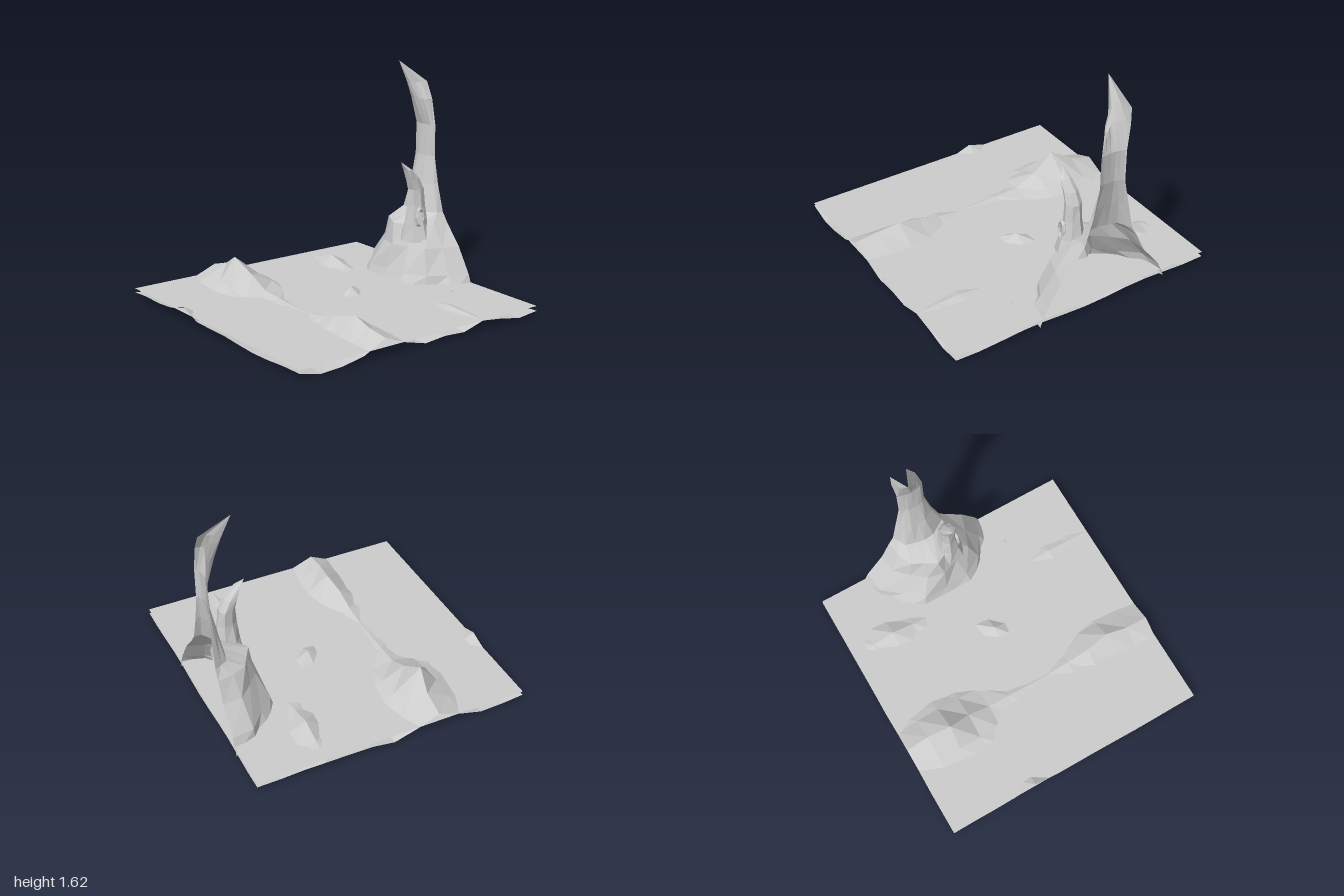
import * as THREE from 'three';

const material = () =>
  new THREE.MeshStandardMaterial({ color: 0xcccccc, flatShading: true, side: THREE.DoubleSide });

function addMesh(parent, name, geometry) {
  geometry.computeVertexNormals();
  const mesh = new THREE.Mesh(geometry, material());
  mesh.name = name;
  parent.add(mesh);
  return mesh;
}

// Skin over rings [y, cx, cz, rx, rz], swept from +z by way of -x, ending in a tip.
function loft(rings, sweep, steps, tip, rough) {
  const points = [], index = [], row = steps + 1;
  rings.forEach(([y, cx, cz, rx, rz], r) => {
    for (let k = 0; k <= steps; k++) {
      const a = (sweep * k) / steps;
      const atEnd = k === 0 || k === steps;
      const f = atEnd ? 1 : 1 + rough * Math.sin(k * 2.6 + r * 1.3);
      points.push(cx - rx * f * Math.sin(a), y, cz + rz * f * Math.cos(a));
    }
  });
  const last = rings.length - 1;
  points.push(...tip);
  for (let k = 0; k < steps; k++) {
    for (let r = 0; r < last; r++) {
      const a = r * row + k, b = a + row;
      index.push(a, b, a + 1, a + 1, b, b + 1);
    }
    index.push(last * row + k, rings.length * row, last * row + k + 1);
  }
  const g = new THREE.BufferGeometry();
  g.setAttribute('position', new THREE.Float32BufferAttribute(points, 3));
  g.setIndex(index);
  return g;
}

// Seabed: valleys and ridges along z, with raised grid nodes as islands
function seabedGeometry() {
  const N = 12;
  const profile = [0.03, 0.005, 0.015, 0.03, 0.065, 0.015, 0.005, 0.02, 0.025, 0.04, 0.03, 0.015, 0.03];
  // [column, first row, heights along z]
  const raised = [
    [0, 3, 0.05, 0.1, 0.04],
    [3, 0, 0.055, 0.09, 0.1, 0.085, 0.05],
    [4, 0, 0.12, 0.17, 0.26, 0.16, 0.085, 0.075, 0.065, 0.062, 0.085, 0.13, 0.17, 0.14, 0.12],
    [5, 0, 0.05, 0.08, 0.1, 0.085, 0.055],
    [5, 9, 0.055, 0.07, 0.065, 0.055],
    [7, 6, 0.105],
    [9, 1, 0.075, 0.12, 0.08, 0.05],
    [9, 9, 0.06, 0.078, 0.07, 0.06],
  ];
  const g = new THREE.PlaneGeometry(2, 2, N, N).rotateX(-Math.PI / 2);
  const pos = g.attributes.position;
  for (let j = 0; j <= N; j++)
    for (let i = 0; i <= N; i++) {
      const wave = 0.01 * Math.sin(i * 1.9 + j * 1.2);
      pos.setY(j * (N + 1) + i, Math.max(0, profile[i] + (i === 4 ? 0 : wave)));
    }
  for (const [i, first, ...heights] of raised)
    heights.forEach((h, k) => pos.setY((first + k) * (N + 1) + i, h));
  // Main summit leans a little to the side
  pos.setX(2 * (N + 1) + 4, -0.37);
  pos.setX(10 * (N + 1) + 4, -0.31);
  return g;
}

export function createModel() {
  const model = new THREE.Group();
  model.name = 'rockyShore';

  addMesh(model, 'seabed', seabedGeometry());

  const water = new THREE.PlaneGeometry(2, 2).rotateX(-Math.PI / 2).translate(0, 0.06, 0);
  addMesh(model, 'waterSurface', water);

  const rock = new THREE.Group();
  rock.name = 'seaStack';
  model.add(rock);

  // Tall stack: open shell sliced at x = 1. Each entry is y, reach in -x, front z, back z.
  const levels = [
    [0, 0.45, 0.36, -0.66],
    [0.12, 0.4, 0.31, -0.61],
    [0.3, 0.34, 0.2, -0.47],
    [0.45, 0.3, 0.07, -0.4],
    [0.52, 0.13, 0.02, -0.36],
    [0.72, 0.08, -0.04, -0.32],
    [0.92, 0.04, -0.08, -0.28],
    [1.15, 0.03, -0.08, -0.28],
    [1.34, 0.09, -0.12, -0.3],
    [1.46, 0.135, -0.18, -0.3],
  ];
  const stackRings = levels.map(([y, reach, f, b]) => [y, 1, (f + b) / 2, reach, (f - b) / 2]);
  addMesh(rock, 'tallStack', loft(stackRings, Math.PI, 8, [0.8, 1.62, -0.26], 0.05));

  // Small hooked spire on the shoulder
  const spireRings = [
    [0.34, 0.79, -0.04, 0.12, 0.13],
    [0.46, 0.785, -0.03, 0.09, 0.085],
    [0.6, 0.785, -0.03, 0.07, 0.06],
    [0.72, 0.78, -0.035, 0.06, 0.055],
    [0.8, 0.745, -0.035, 0.05, 0.05],
    [0.87, 0.7, -0.03, 0.025, 0.04],
  ];
  addMesh(rock, 'hookedSpire', loft(spireRings, Math.PI * 2, 7, [0.645, 0.93, -0.04], 0.06));

  // Oval rim of the hollow in the spire's front
  const rim = new THREE.TorusGeometry(0.032, 0.01, 4, 8).scale(1, 2, 1.5).translate(0.765, 0.52, 0.035);
  addMesh(rock, 'hollowRim', rim);

  // Pebble just breaking the water
  const pebble = new THREE.ConeGeometry(0.03, 0.05, 4).translate(0.74, 0.05, 0.42);
  addMesh(model, 'pebble', pebble);

  return model;
}
